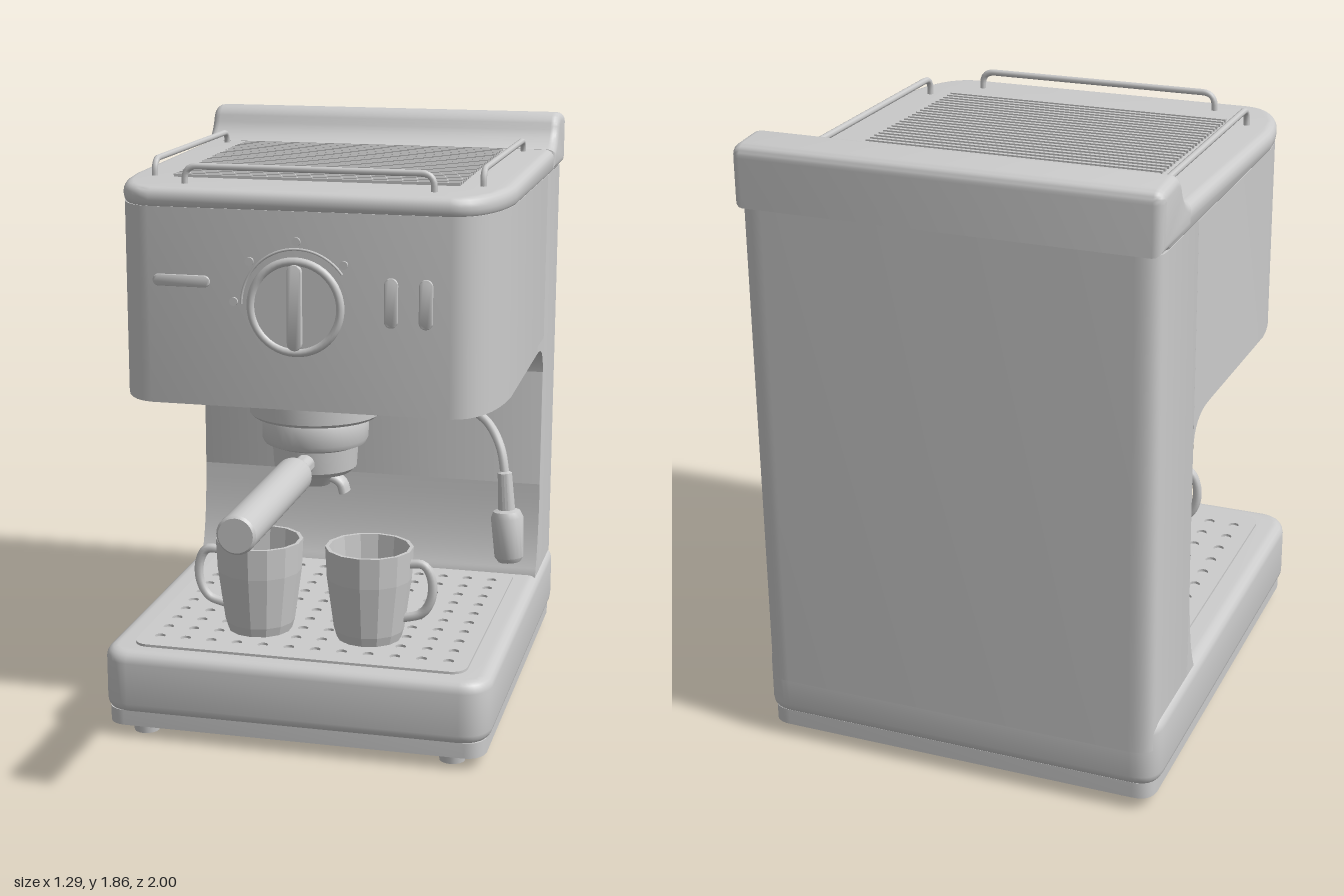
import * as THREE from 'three';
import { toCreasedNormals } from 'three/addons/utils/BufferGeometryUtils.js';

const CX = -0.026; // centre line of the machine
const smooth = new THREE.MeshStandardMaterial({ color: 0xcccccc });
const faceted = new THREE.MeshStandardMaterial({ color: 0xcccccc, flatShading: true });
const V = (x, y, z) => new THREE.Vector3(x, y, z);

function add(parent, name, geo, x = 0, y = 0, z = 0, mat = smooth) {
  const m = new THREE.Mesh(geo, mat);
  m.name = name;
  m.position.set(x, y, z);
  parent.add(m);
  return m;
}

// Plan outline from x0..x1 and z0 (back)..z1 (front); corner sizes as [along x, along z]
function plan(x0, x1, z0, z1, front, back) {
  const [fx, fz] = front, [bx, bz] = back, s = new THREE.Shape();
  s.moveTo(x0 + fx, -z1);
  s.lineTo(x1 - fx, -z1);
  s.quadraticCurveTo(x1 - fx * 0.15, -z1 + fz * 0.05, x1, -z1 + fz);
  s.lineTo(x1, -z0 - bz);
  s.quadraticCurveTo(x1, -z0, x1 - bx, -z0);
  s.lineTo(x0 + bx, -z0);
  s.quadraticCurveTo(x0, -z0, x0, -z0 - bz);
  s.lineTo(x0, -z1 + fz);
  s.quadraticCurveTo(x0 + fx * 0.15, -z1 + fz * 0.05, x0 + fx, -z1);
  return s;
}

function extrude(shape, length, b) {
  return new THREE.ExtrudeGeometry(shape, {
    depth: length - 2 * b, bevelEnabled: b > 0, bevelSize: b, bevelThickness: b,
    bevelOffset: -b, bevelSegments: 4, curveSegments: 8,
  }).translate(0, 0, b);
}

// Extrude a plan upwards from y0 to y1; rule may move the vertices
function upright(shape, y0, y1, b, rule) {
  const g = extrude(shape, y1 - y0, b).rotateX(-Math.PI / 2).translate(0, y0, 0);
  const p = g.attributes.position;
  if (rule) for (let i = 0; i < p.count; i++) p.setY(i, rule(p.getY(i), p.getZ(i)));
  return toCreasedNormals(g, 0.6);
}

// Extrude a side profile (drawn as -z, y) across the width
function across(shape, x0, x1, b) {
  return toCreasedNormals(extrude(shape, x1 - x0, b).rotateY(Math.PI / 2).translate(x0, 0, 0), 0.6);
}

// Wire bent through points with rounded corners
function rail(a, b, base, top) {
  const r = 0.04, d = b.clone().sub(a).normalize().multiplyScalar(r);
  const at = (p, y) => V(p.x, y, p.z);
  const path = new THREE.CurvePath();
  const a1 = at(a, top - r), a2 = at(a, top).add(d), b2 = at(b, top).sub(d), b1 = at(b, top - r);
  path.add(new THREE.LineCurve3(at(a, base), a1));
  path.add(new THREE.QuadraticBezierCurve3(a1, at(a, top), a2));
  path.add(new THREE.LineCurve3(a2, b2));
  path.add(new THREE.QuadraticBezierCurve3(b2, at(b, top), b1));
  path.add(new THREE.LineCurve3(b1, at(b, base)));
  return new THREE.TubeGeometry(path, 90, 0.01, 8);
}

function pill(w, h, depth) {
  const r = Math.min(w, h) / 2;
  const s = new THREE.Shape();
  if (w > h) {
    s.absarc(w / 2 - r, 0, r, -Math.PI / 2, Math.PI / 2);
    s.absarc(r - w / 2, 0, r, Math.PI / 2, Math.PI * 1.5);
  } else {
    s.absarc(0, h / 2 - r, r, 0, Math.PI);
    s.absarc(0, r - h / 2, r, Math.PI, Math.PI * 2);
  }
  return toCreasedNormals(extrude(s, depth, 0.003), 0.6);
}

const lathe = (pts, n) => new THREE.LatheGeometry(pts.map(p => new THREE.Vector2(...p)), n);

function makeCup(side) {
  const cup = new THREE.Group();
  cup.name = side > 0 ? 'leftCup' : 'rightCup';
  add(cup, 'cupBowl', lathe([[0, 0], [0.103, 0], [0.112, 0.03], [0.135, 0.2], [0.14, 0.3],
    [0.128, 0.3], [0.12, 0.2], [0.095, 0.03], [0, 0.025]], 14), 0, 0, 0, faceted);
  const handle = new THREE.CatmullRomCurve3([V(0.12, 0.25, 0), V(0.175, 0.25, 0), V(0.2, 0.21, 0),
    V(0.2, 0.14, 0), V(0.17, 0.09, 0), V(0.11, 0.07, 0)]);
  add(cup, 'cupHandle', new THREE.TubeGeometry(handle, 24, 0.015, 8));
  if (side < 0) cup.rotation.y = Math.PI;
  cup.position.set(CX + side * 0.18, 0.293, 0.135);
  return cup;
}

export function createModel() {
  const g = new THREE.Group();
  g.name = 'espressoMachine';

  // Feet, floor plate and base
  for (const x of [-0.52, 0.47]) for (const z of [0.36, -0.88])
    add(g, 'foot', new THREE.CylinderGeometry(0.046, 0.04, 0.045, 16), x, 0.0225, z);
  add(g, 'floorPlate', upright(plan(-0.63, 0.58, -0.975, 0.44, [0.06, 0.06], [0.06, 0.06]), 0.04, 0.09, 0));
  add(g, 'base', upright(plan(-0.645, 0.592, -0.985, 0.452, [0.09, 0.09], [0.08, 0.08]), 0.08, 0.285, 0.035));

  // Perforated drip tray
  const tray = plan(-0.56, 0.508, -0.58, 0.38, [0.05, 0.05], [0.03, 0.03]);
  for (let i = 0; i < 12; i++) for (let j = 0; j < 10; j++) {
    const hole = new THREE.Path();
    hole.absarc(CX + (i - 5.5) * 0.085, -(-0.5 + j * 0.088), 0.017, 0, Math.PI * 2, true);
    tray.holes.push(hole);
  }
  add(g, 'dripTray', upright(tray, 0.275, 0.293, 0));

  // Column, with a flare at its foot and a fillet below the head
  add(g, 'column', upright(plan(-0.632, 0.578, -0.99, -0.66, [0.001, 0.001], [0.07, 0.05]), 0.2, 1.675, 0));
  const flare = new THREE.Shape();
  flare.moveTo(0.6, 0.25);
  flare.lineTo(0.67, 0.25);
  flare.lineTo(0.67, 0.6);
  flare.lineTo(0.66, 0.6);
  flare.quadraticCurveTo(0.655, 0.38, 0.6, 0.28);
  add(g, 'columnFlare', across(flare, -0.632, 0.578, 0));
  const fillet = new THREE.Shape();
  fillet.moveTo(0.66, 1.0);
  fillet.lineTo(0.66, 1.12);
  fillet.lineTo(0.52, 1.12);
  fillet.lineTo(0.52, 1.095);
  fillet.quadraticCurveTo(0.655, 1.1, 0.66, 1.0);
  add(g, 'headFillet', across(fillet, -0.632, 0.578, 0));

  // Brewing head with its gently sloping underside
  add(g, 'head', upright(plan(-0.632, 0.578, -0.66, 0.33, [0.14, 0.28], [0.001, 0.001]), 1.07, 1.675, 0,
    (y, z) => y < 1.3 ? y + (0.33 - z) * 0.03 : y));

  // Lid and raised rear ridge
  add(g, 'lid', upright(plan(-0.637, 0.583, -0.95, 0.335, [0.15, 0.29], [0.05, 0.05]), 1.665, 1.73, 0.028,
    (y, z) => y > 1.69 ? y + (0.33 - z) * 0.018 : y));
  const ridge = new THREE.Shape();
  ridge.moveTo(0.74, 1.675);
  ridge.lineTo(1.0, 1.675);
  ridge.lineTo(1.0, 1.815);
  ridge.quadraticCurveTo(1.0, 1.85, 0.965, 1.853);
  ridge.lineTo(0.88, 1.86);
  ridge.quadraticCurveTo(0.84, 1.858, 0.825, 1.82);
  ridge.quadraticCurveTo(0.805, 1.765, 0.74, 1.75);
  add(g, 'rearRidge', across(ridge, -0.64, 0.588, 0.028));

  // Cup warmer ribs and rails
  for (let i = 0; i < 28; i++) {
    const z = -0.685 + i * 0.029;
    add(g, 'warmerRib', new THREE.BoxGeometry(0.9, 0.014, 0.012), -0.03, 1.732 + (0.33 - z) * 0.018, z);
  }
  for (const x of [-0.546, 0.488])
    add(g, 'sideRail', rail(V(x, 0, -0.69), V(x, 0, 0.09), 1.72, 1.785));
  add(g, 'frontRail', rail(V(-0.405, 0, 0.225), V(0.365, 0, 0.225), 1.71, 1.785));

  // Dial with grip, scale arc and marks
  const dial = new THREE.Group();
  dial.name = 'dial';
  dial.position.set(-0.028, 1.39, 0.33);
  g.add(dial);
  add(dial, 'dialDisc', new THREE.CylinderGeometry(0.135, 0.145, 0.025, 40).rotateX(Math.PI / 2), 0, 0, 0.008);
  add(dial, 'dialRim', new THREE.TorusGeometry(0.138, 0.013, 10, 48), 0, 0, 0.017);
  add(dial, 'dialGrip', pill(0.045, 0.26, 0.035));
  add(dial, 'scaleArc', new THREE.TorusGeometry(0.172, 0.004, 6, 40, Math.PI * 0.8).rotateZ(Math.PI * 0.2));
  for (const a of [42, 90, 138, 178]) {
    const t = a * Math.PI / 180;
    add(dial, 'scaleMark', new THREE.CylinderGeometry(0.013, 0.013, 0.012, 14).rotateX(Math.PI / 2),
      Math.cos(t) * 0.195, Math.sin(t) * 0.195, 0.002);
  }
  add(g, 'frontBar', pill(0.18, 0.036, 0.012), -0.387, 1.453, 0.325);
  for (const x of [0.26, 0.365]) add(g, 'indicator', pill(0.042, 0.15, 0.012), x, 1.413, 0.325);

  // Group head, filter basket, spouts and handle
  const filter = new THREE.Group();
  filter.name = 'filterHolder';
  filter.position.set(CX, 0, 0.115);
  g.add(filter);
  add(filter, 'groupHead', toCreasedNormals(lathe([[0, 0.83], [0.115, 0.83], [0.13, 0.845], [0.135, 0.915],
    [0.16, 0.925], [0.167, 0.94], [0.167, 0.995], [0.16, 1.01], [0.195, 1.01], [0.206, 1.02],
    [0.206, 1.09], [0, 1.09]], 32), 0.6));
  add(filter, 'spoutNeck', new THREE.CylinderGeometry(0.085, 0.045, 0.055, 20), 0, 0.81, 0);
  const spout = new THREE.CatmullRomCurve3([V(-0.095, 0.76, 0), V(-0.085, 0.79, 0), V(-0.05, 0.81, 0),
    V(0.05, 0.81, 0), V(0.085, 0.79, 0), V(0.095, 0.76, 0)]);
  add(filter, 'spouts', new THREE.TubeGeometry(spout, 32, 0.018, 10), 0, 0, 0, new THREE.MeshStandardMaterial({
    color: 0xcccccc, side: THREE.DoubleSide })).scale.z = 1.8;
  add(filter, 'handle', toCreasedNormals(lathe([[0, 0.1], [0.03, 0.1], [0.03, 0.23], [0.055, 0.26],
    [0.057, 0.27], [0.057, 0.877], [0.05, 0.885], [0, 0.885]], 24).rotateX(Math.PI / 2), 0.6), 0, 0.88, 0);

  // Steam wand
  const wand = new THREE.Group();
  wand.name = 'steamWand';
  g.add(wand);
  const pipe = new THREE.CatmullRomCurve3([V(0.41, 1.1, 0), V(0.44, 1.04, 0.01), V(0.51, 0.99, 0.04),
    V(0.555, 0.93, 0.085), V(0.575, 0.85, 0.11), V(0.585, 0.74, 0.12)]);
  add(wand, 'wandPipe', new THREE.TubeGeometry(pipe, 40, 0.014, 10));
  const tip = add(wand, 'wandSleeve', toCreasedNormals(lathe([[0, 0], [0.035, 0], [0.045, 0.015], [0.05, 0.14],
    [0.042, 0.16], [0.026, 0.165], [0.022, 0.28], [0.012, 0.285]], 18), 0.6), 0.598, 0.578, 0.13);
  tip.rotation.set(-0.05, 0, 0.08);

  // Cups
  for (const side of [-1, 1]) g.add(makeCup(side));
  return g;
}
